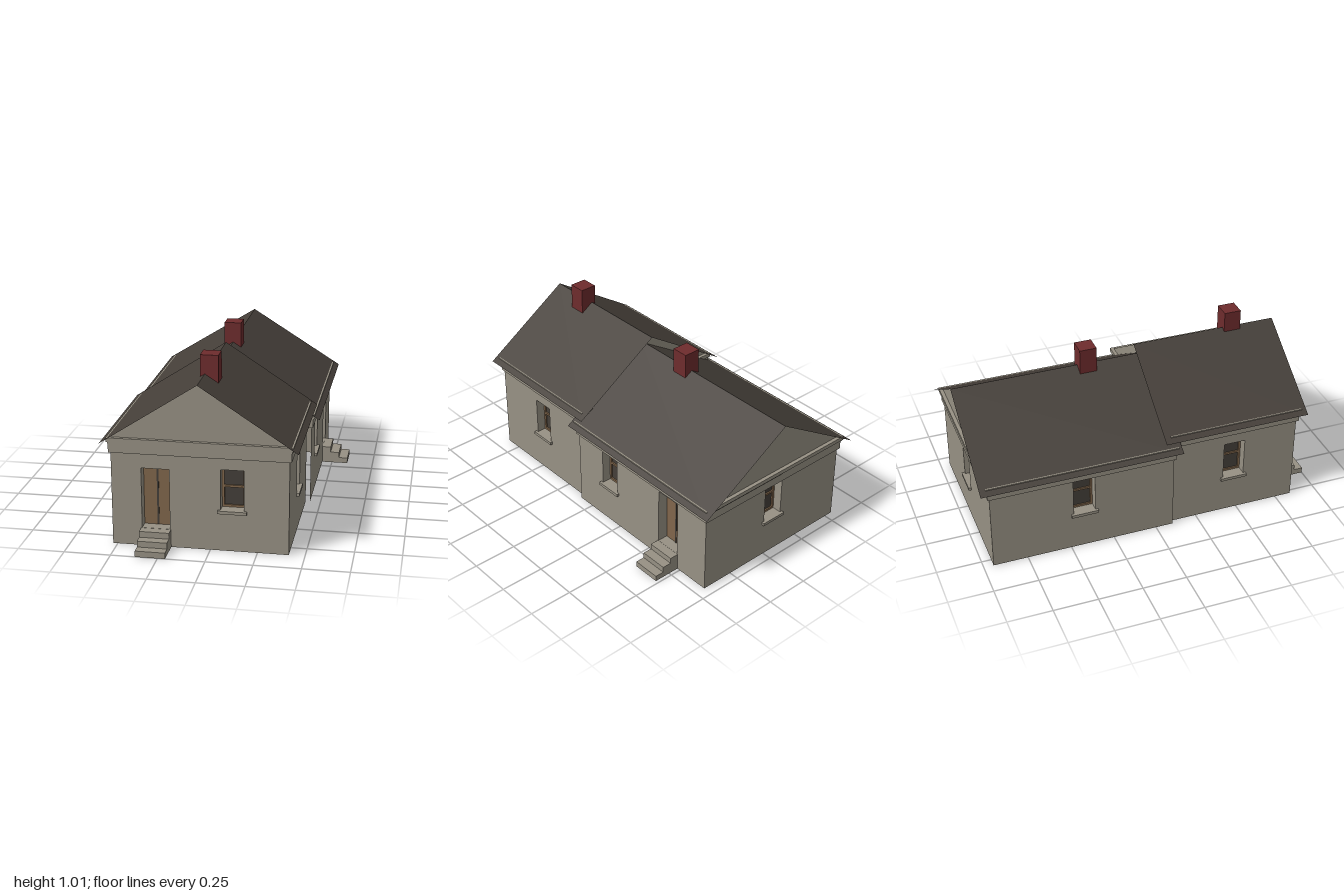
import * as THREE from 'three';

const CX = -0.055;   // ridge line
const DEPTH = 0.06;  // recess of doors and windows

function material(name, color, side = THREE.FrontSide) {
  const m = new THREE.MeshStandardMaterial({ color, side });
  m.name = name;
  return m;
}

export function createModel() {
  const stone = material('stone', 0x979184, THREE.DoubleSide);
  const slate = material('roofSlate', 0x453f39, THREE.DoubleSide);
  const brick = material('brick', 0x6e2c2d);
  const wood = material('wood', 0x80664b);
  const glass = material('darkGlass', 0x443f39);

  const house = new THREE.Group();
  house.name = 'house';

  function add(parent, name, geometry, mat) {
    const mesh = new THREE.Mesh(geometry, mat);
    mesh.name = name;
    parent.add(mesh);
    return mesh;
  }

  // Box given by its minimum and maximum on each axis
  function box(parent, name, mat, x0, x1, y0, y1, z0, z1) {
    const g = new THREE.BoxGeometry(x1 - x0, y1 - y0, z1 - z0);
    g.translate((x0 + x1) / 2, (y0 + y1) / 2, (z0 + z1) / 2);
    return add(parent, name, g, mat);
  }

  // Four inward faces lining an opening
  function reveal(parent, x, y0, y1, w) {
    const g = new THREE.BoxGeometry(w, y1 - y0, DEPTH);
    g.setIndex(Array.from(g.index.array).slice(0, 24));
    g.clearGroups();
    g.translate(x, (y0 + y1) / 2, -DEPTH / 2);
    add(parent, 'reveal', g, stone);
  }

  function makeWindow(parent, x) {
    const w = 0.062, y0 = 0.228, y1 = 0.452, z = -DEPTH;
    const group = new THREE.Group();
    group.name = 'window';
    parent.add(group);
    reveal(group, x, y0, y1, w * 2);
    box(group, 'glass', glass, x - w, x + w, y0, y1, z - 0.005, z);
    for (const s of [-1, 1]) {
      const c = x + s * (w - 0.006);
      box(group, 'sashStile', wood, c - 0.006, c + 0.006, y0, y1, z, z + 0.008);
    }
    for (const [a, b] of [[y0, y0 + 0.012], [0.338, 0.35], [y1 - 0.006, y1]])
      box(group, 'sashRail', wood, x - w + 0.012, x + w - 0.012, a, b, z, z + 0.008);
    box(group, 'sill', stone, x - 0.077, x + 0.077, 0.211, y0, -0.01, 0.016);
  }

  function makeDoor(parent, x) {
    const w = 0.075, y0 = 0.1, y1 = 0.435, z = -DEPTH;
    const group = new THREE.Group();
    group.name = 'door';
    parent.add(group);
    reveal(group, x, y0, y1, w * 2);
    box(group, 'doorLeaves', wood, x - w, x + w, y0, y1, z - 0.005, z);
    box(group, 'doorGap', glass, x - 0.005, x + 0.005, y0, y1, z, z + 0.003);
    // three steps, the top one deepest in
    for (let i = 0; i < 3; i++)
      box(group, 'step', stone, x - 0.08, x + 0.08, i * 0.033, (i + 1) * 0.033,
        0, 0.155 - i * 0.052);
  }

  // Thin wall facing local +z, with openings cut out
  function wall(name, outline, angle, x, z, windows = [], doors = []) {
    const group = new THREE.Group();
    group.name = name;
    group.position.set(x, 0, z);
    group.rotation.y = angle;
    house.add(group);
    const shape = new THREE.Shape(outline.map(p => new THREE.Vector2(...p)));
    const cut = (c, w, y0, y1) => shape.holes.push(new THREE.Path([
      new THREE.Vector2(c - w, y0), new THREE.Vector2(c - w, y1),
      new THREE.Vector2(c + w, y1), new THREE.Vector2(c + w, y0)]));
    for (const c of windows) { cut(c, 0.062, 0.228, 0.452); makeWindow(group, c); }
    for (const c of doors) { cut(c, 0.075, 0.1, 0.435); makeDoor(group, c); }
    add(group, 'wallFace', new THREE.ShapeGeometry(shape), stone);
  }

  // Rectangular moulding ring around a block, projecting by out
  function ring(name, half, z0, z1, out, y0, y1) {
    const rect = (P, o) => new P([[-half - o, z0 - o], [half + o, z0 - o],
      [half + o, z1 + o], [-half - o, z1 + o]].map(([x, z]) => new THREE.Vector2(x + CX, -z)));
    const shape = rect(THREE.Shape, out);
    shape.holes.push(rect(THREE.Path, -0.002));
    const g = new THREE.ExtrudeGeometry(shape, { depth: y1 - y0, bevelEnabled: false });
    g.rotateX(-Math.PI / 2);
    g.translate(0, y0, 0);
    add(house, name, g, stone);
  }

  // Two thin roof slopes
  function roof(name, half, eave, ridge, z0, z1) {
    const group = new THREE.Group();
    group.name = name;
    house.add(group);
    for (const s of [-1, 1]) {
      const g = new THREE.PlaneGeometry(Math.hypot(half, ridge - eave), z1 - z0);
      g.rotateX(-Math.PI / 2);
      g.rotateZ(-s * Math.atan2(ridge - eave, half));
      g.translate(CX + s * half / 2, (eave + ridge) / 2, (z0 + z1) / 2);
      add(group, 'roofSlope', g, slate);
    }
  }

  // Gabled outline following the underside of the roof
  function gable(half, base, roofHalf, eave, ridge, mirror = 1) {
    const c = CX * mirror;
    const y = ridge - half * (ridge - eave) / roofHalf - 0.003;
    return [[c - half, base], [c + half, base], [c + half, y], [c, ridge - 0.003], [c - half, y]];
  }
  const side = (a, b, h) => [[a, 0], [b, 0], [b, h], [a, h]];
  const Q = Math.PI / 2;

  // Front block
  const F = { half: 0.47, z0: 0.1, z1: 0.845, roof: [0.52, 0.573, 0.912] };
  wall('frontWall', gable(F.half, 0, ...F.roof), 0, 0, F.z1, [0.117], [-0.29]);
  wall('frontLeftWall', side(-F.z1, -F.z0, 0.59), Q, CX + F.half, 0, [-0.472]);
  wall('frontRightWall', side(F.z0, F.z1, 0.59), -Q, CX - F.half, 0, [0.472]);
  wall('innerGable', gable(F.half, 0.57, ...F.roof, -1), Math.PI, 0, F.z0);
  ring('frontFrieze', F.half, F.z0, F.z1, 0.011, 0.515, 0.566);
  ring('frontBedMoulding', F.half, F.z0, F.z1, 0.014, 0.566, 0.575);
  ring('frontCrown', F.half, F.z0, F.z1, 0.02, 0.575, 0.598);
  roof('frontRoof', ...F.roof, 0.045, 0.89);

  // Rear block
  const R = { half: 0.495, z0: -0.945, z1: 0.1, roof: [0.545, 0.51, 0.85] };
  wall('backWall', gable(R.half, 0, ...R.roof, -1), Math.PI, 0, R.z0, [-CX]);
  wall('rearLeftWall', side(-R.z1, -R.z0, 0.525), Q, CX + R.half, 0, [0.167], [0.652]);
  wall('rearRightWall', side(R.z0, R.z1, 0.525), -Q, CX - R.half, 0, [-0.42]);
  ring('rearFrieze', R.half, R.z0, R.z1, 0.011, 0.452, 0.502);
  ring('rearBedMoulding', R.half, R.z0, R.z1, 0.015, 0.502, 0.511);
  ring('rearCrown', R.half, R.z0, R.z1, 0.021, 0.511, 0.534);
  roof('rearRoof', ...R.roof, -1, 0.137);

  // Chimneys
  box(house, 'frontChimney', brick, -0.08, 0.017, 0.862, 1.014, 0.583, 0.68);
  box(house, 'rearChimney', brick, -0.105, -0.008, 0.815, 0.965, -0.285, -0.188);

  return house;
}
